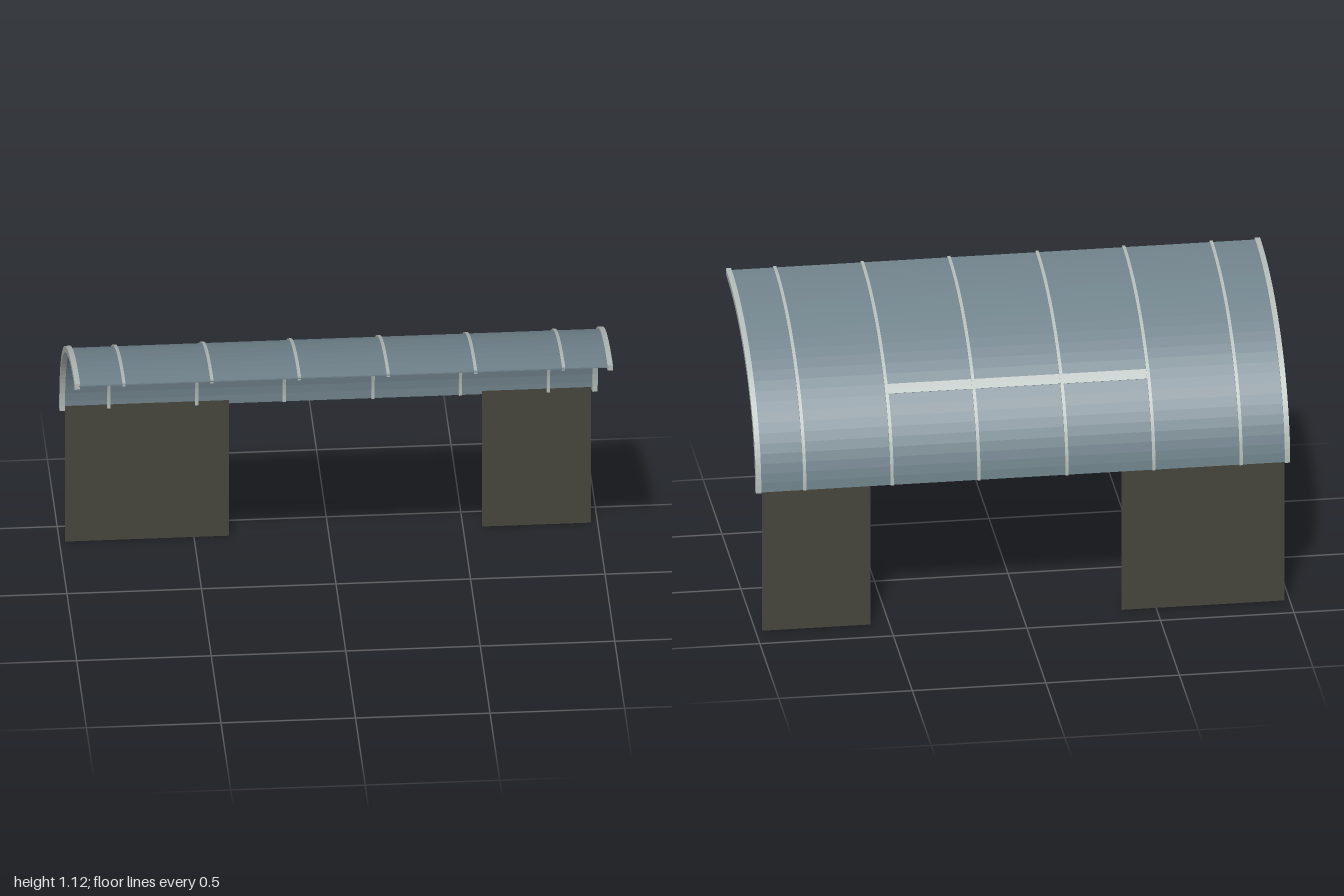
import * as THREE from 'three';

const material = (name, color, side = THREE.FrontSide) => {
  const m = new THREE.MeshStandardMaterial({ color, side });
  m.name = name;
  return m;
};

// Quarter-ellipse roof curve: starts at the back edge (t = 0), ends at the front crown (t = PI / 2).
const BASE_Y = 0.565, FRONT_Z = 0.4, RADIUS_Z = 0.8, RADIUS_Y = 0.56;
const curvePoint = (t, inset) => new THREE.Vector2(
  -FRONT_Z + (RADIUS_Z - inset) * Math.cos(t),
  BASE_Y + (RADIUS_Y - inset) * Math.sin(t)
);

// Curved band between two insets, running from x0 to x1.
function bandGeometry(x0, x1, outer, inner, segments, t0 = 0, t1 = Math.PI / 2) {
  const points = [];
  for (let i = 0; i <= segments; i++) points.push(curvePoint(t0 + (t1 - t0) * i / segments, outer));
  for (let i = segments; i >= 0; i--) points.push(curvePoint(t0 + (t1 - t0) * i / segments, inner));
  const geometry = new THREE.ExtrudeGeometry(new THREE.Shape(points), { depth: x1 - x0, bevelEnabled: false });
  geometry.rotateY(Math.PI / 2);
  geometry.translate(x0, 0, 0);
  return geometry;
}

export function createModel() {
  const group = new THREE.Group();
  group.name = 'curvedShelter';
  const roofBlue = material('roofBlueGrey', 0x70828b);
  const ribGrey = material('ribGrey', 0xb0b9b5);
  const wallDark = material('wallDark', 0x45443c, THREE.DoubleSide);

  const add = (name, geometry, mat) => {
    const mesh = new THREE.Mesh(geometry, mat);
    mesh.name = name;
    group.add(mesh);
    return mesh;
  };

  // Curved roof sheet
  add('roofSheet', bandGeometry(-0.985, 0.985, 0.008, 0.012, 24), roofBlue);

  // Heavy end frames and slim intermediate ribs, mirrored
  for (const side of [-1, 1]) {
    const label = side > 0 ? 'left' : 'right';
    add(label + 'EndFrame', bandGeometry(side * 0.99 - 0.01, side * 0.99 + 0.01, 0, 0.024, 32), ribGrey);
    [0.165, 0.49, 0.817].forEach((x, i) =>
      add(label + 'Rib' + (i + 1), bandGeometry(side * x - 0.006, side * x + 0.006, 0.002, 0.018, 32), ribGrey));
    // Light strip through the roof between the ribs
    add(label + 'LightStrip', bandGeometry(side * 0.3275 - 0.1625, side * 0.3275 + 0.1625, 0.005, 0.015, 2, 0.595, 0.655), ribGrey);
  }
  // Middle strip, on the outside only
  add('middleLightStrip', bandGeometry(-0.165, 0.165, 0.005, 0.0095, 2, 0.595, 0.655), ribGrey);

  // Thin back walls
  const wall = (name, x0, x1) => {
    const mesh = add(name, new THREE.PlaneGeometry(x1 - x0, 0.58), wallDark);
    mesh.position.set((x0 + x1) / 2, 0.29, -0.386);
  };
  wall('rightBackWall', -0.98, -0.37);
  wall('leftBackWall', 0.57, 0.975);

  return group;
}
